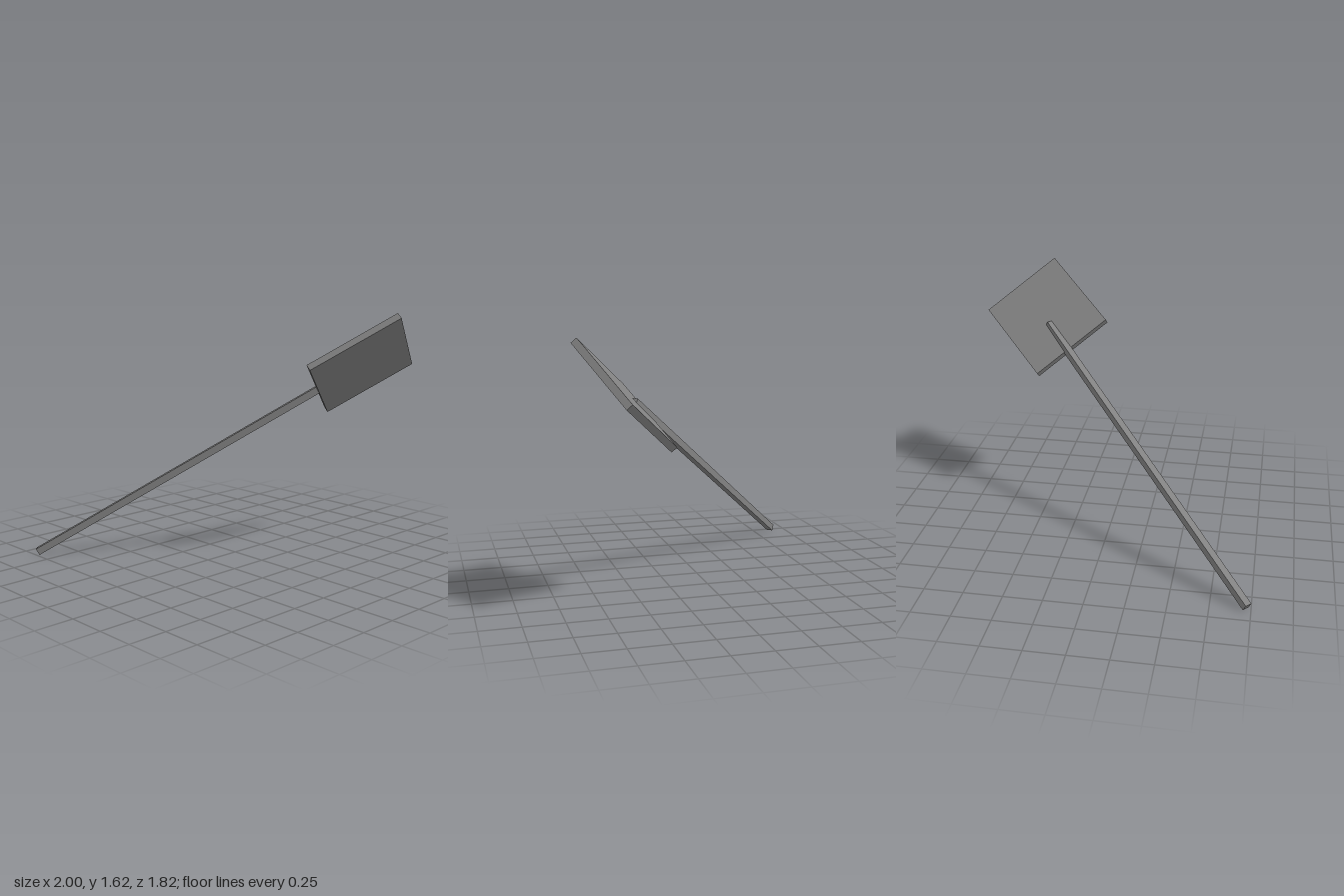
import * as THREE from 'three';

const material = new THREE.MeshStandardMaterial({ color: 0x828282, flatShading: true });
const vec = (x, y, z) => new THREE.Vector3(x, y, z);

// Box with its length along "along", its height closest to "up", centred on "centre"
function orientedBox(name, [width, height, length], centre, along, up) {
  const z = along.clone().normalize();
  const x = up.clone().cross(z).normalize();
  const y = z.clone().cross(x);
  const mesh = new THREE.Mesh(new THREE.BoxGeometry(width, height, length), material);
  mesh.name = name;
  mesh.quaternion.setFromRotationMatrix(new THREE.Matrix4().makeBasis(x, y, z));
  mesh.position.copy(centre);
  return mesh;
}

export function createModel() {
  const group = new THREE.Group();
  group.name = 'paddle';

  // Long square handle, its tip sunk into the back of the blade
  const butt = vec(-0.976, 0.02, -0.888);
  const tip = vec(0.53, 1.238, 0.541);
  const run = tip.clone().sub(butt);
  const middle = butt.clone().add(tip).multiplyScalar(0.5);
  group.add(orientedBox('handle', [0.046, 0.046, run.length()], middle, run, vec(0, 1, 0)));

  // Flat rectangular blade
  const bladeAlong = vec(0.435, 0.32, 0.365);
  const bladeNormal = vec(0.133, 0.661, -0.738);
  group.add(orientedBox('blade', [0.6, 0.045, 0.652], vec(0.558, 1.275, 0.596), bladeAlong, bladeNormal));

  return group;
}
